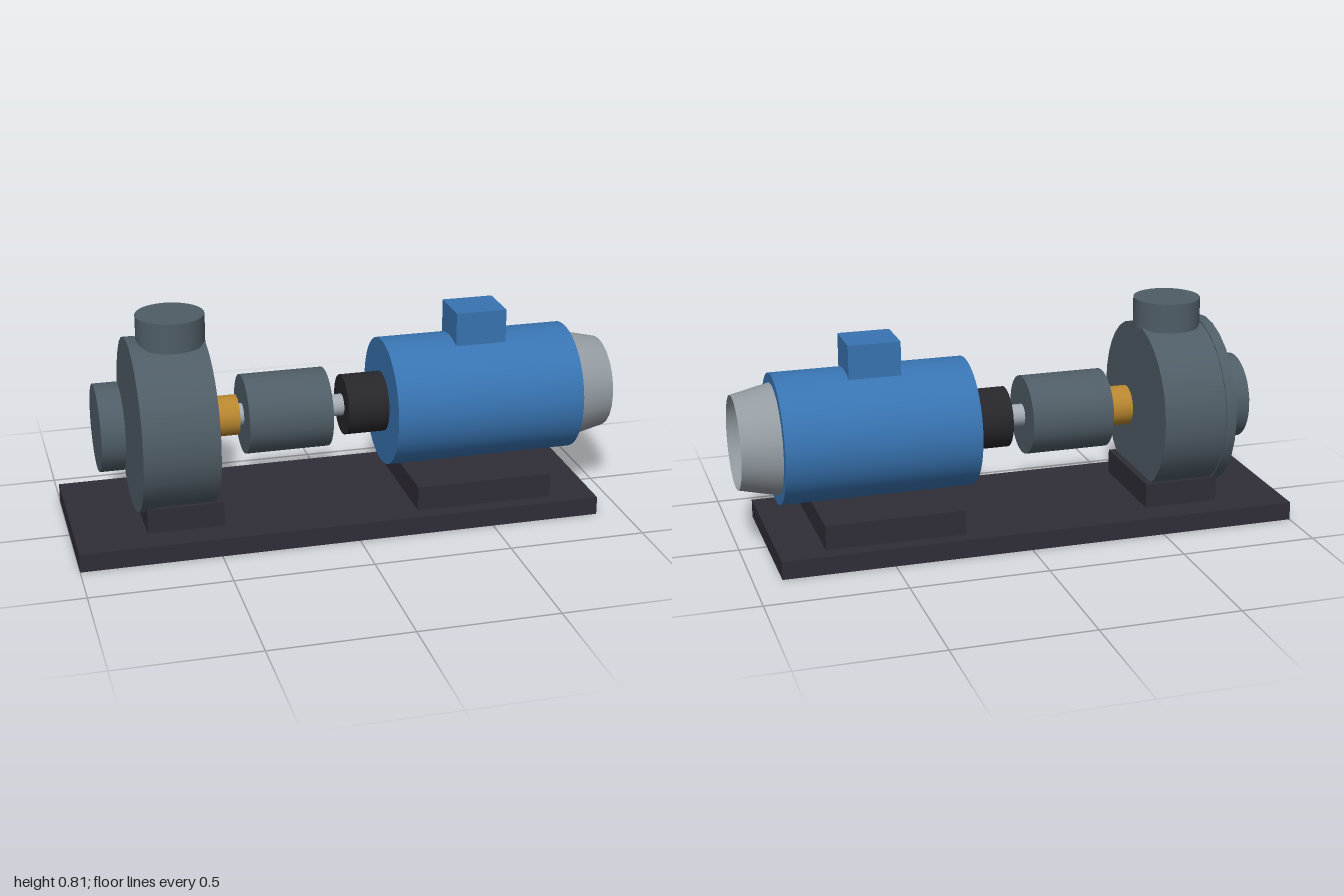
import * as THREE from 'three';

const AXIS_Y = 0.405; // height of the shaft line

function material(name, color, side = THREE.FrontSide) {
  const m = new THREE.MeshStandardMaterial({ color, side });
  m.name = name;
  return m;
}

export function createModel() {
  const group = new THREE.Group();
  const castIron = material('cast iron grey', 0x4f5d66);
  const motorBlue = material('motor blue', 0x3874b2);
  const baseDark = material('base charcoal', 0x2f2d36);
  const rubber = material('coupling black', 0x26262b);
  const bronze = material('bronze', 0xb8862f);
  const steel = material('shaft steel', 0xa3abb3);
  const coverGrey = material('cover grey', 0x949ca2, THREE.DoubleSide);

  const add = (name, geometry, mat) => {
    const mesh = new THREE.Mesh(geometry, mat);
    mesh.name = name;
    group.add(mesh);
    return mesh;
  };

  // Box given by its limits in x and y, and its half depth
  const box = (name, x0, x1, y0, y1, halfZ, mat) =>
    add(name, new THREE.BoxGeometry(x1 - x0, y1 - y0, halfZ * 2), mat)
      .position.set((x0 + x1) / 2, (y0 + y1) / 2, 0);

  // Round part lying along the shaft line, from x0 to x1
  const round = (name, x0, x1, r0, r1, mat, segments = 32, open = false) => {
    const g = new THREE.CylinderGeometry(r1, r0, x1 - x0, segments, 1, open);
    g.rotateZ(-Math.PI / 2);
    add(name, g, mat).position.set((x0 + x1) / 2, AXIS_Y, 0);
  };

  // Base plate and feet
  box('basePlate', -1, 0.9, 0, 0.067, 0.307, baseDark);
  box('pumpFoot', -0.745, -0.47, 0.067, 0.157, 0.2, baseDark);
  box('motorFoot', 0.23, 0.735, 0.067, 0.157, 0.252, baseDark);

  // Pump casing, its rim and the two flanges
  round('pumpCasing', -0.764, -0.495, 0.309, 0.309, castIron, 32);
  round('casingRim', -0.766, -0.728, 0.314, 0.314, castIron, 28);
  round('suctionFlange', -0.887, -0.802, 0.157, 0.157, castIron);
  add('dischargeFlange', new THREE.CylinderGeometry(0.122, 0.122, 0.107, 32), castIron)
    .position.set(-0.61, 0.7535, 0);

  // Shaft line
  round('glandSeal', -0.46, -0.38, 0.073, 0.073, bronze);
  round('shaft', -0.4, 0.05, 0.04, 0.04, steel, 24);
  round('bearingHousing', -0.36, -0.055, 0.144, 0.144, castIron);
  round('coupling', 0.01, 0.165, 0.11, 0.11, rubber);

  // Motor with terminal box
  round('motorBody', 0.16, 0.86, 0.234, 0.234, motorBlue, 48);
  box('terminalBox', 0.415, 0.603, 0.58, 0.746, 0.085, motorBlue);

  // Open tapered fan cover with the dark grille inside
  round('fanCover', 0.86, 1, 0.2, 0.168, coverGrey, 24, true);
  round('fanGrille', 0.91, 0.92, 0.169, 0.169, baseDark, 32);

  return group;
}
